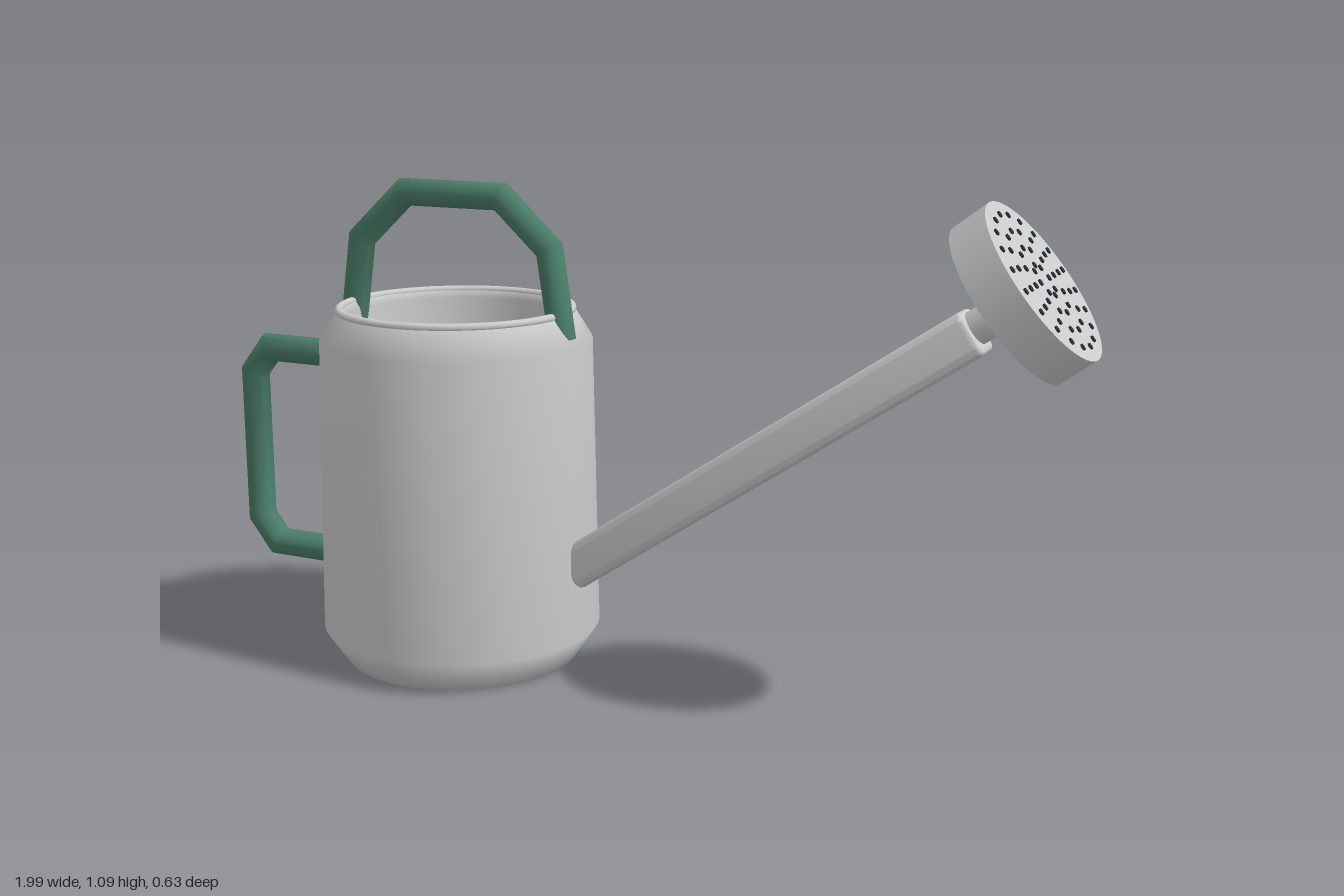
import * as THREE from 'three';
import { mergeGeometries, toCreasedNormals } from 'three/addons/utils/BufferGeometryUtils.js';

const CX = -0.41; // axis of the can

// Round bar along a path in the xy plane, with mitred bends and closed ends
function mitredBar(points, radius, sides = 20) {
  const pts = points.map(([x, y]) => new THREE.Vector2(x, y));
  const last = pts.length - 1;
  const rings = [];
  pts.forEach((p, i) => {
    const a = pts[Math.max(i - 1, 0)], b = pts[Math.min(i + 1, last)];
    const dIn = i > 0 ? p.clone().sub(a).normalize() : b.clone().sub(p).normalize();
    const dOut = i < last ? b.clone().sub(p).normalize() : dIn.clone();
    const t = dIn.clone().add(dOut).normalize();
    const ring = { p, n: new THREE.Vector2(-t.y, t.x), miter: 1 / t.dot(dIn), r: radius };
    if (i === 0) rings.push({ ...ring, r: 0 });
    rings.push(ring);
    if (i === last) rings.push({ ...ring, r: 0 });
  });
  const position = [], index = [];
  rings.forEach(({ p, n, miter, r }, i) => {
    for (let j = 0; j < sides; j++) {
      const a = (j / sides) * Math.PI * 2, u = Math.cos(a) * r * miter;
      position.push(p.x + n.x * u, p.y + n.y * u, Math.sin(a) * r);
      if (i === rings.length - 1) continue;
      const k = (j + 1) % sides, s = i * sides, e = s + sides;
      index.push(s + j, s + k, e + k, s + j, e + k, e + j);
    }
  });
  const g = new THREE.BufferGeometry();
  g.setAttribute('position', new THREE.Float32BufferAttribute(position, 3));
  g.setIndex(index);
  return toCreasedNormals(g, 0.9);
}

// Square with rounded corners
function roundedSquare(h, r) {
  const s = new THREE.Shape();
  [[1, 1, 0], [-1, 1, 1], [-1, -1, 2], [1, -1, 3]].forEach(([x, y, q]) =>
    s.absarc(x * (h - r), y * (h - r), r, (q * Math.PI) / 2, ((q + 1) * Math.PI) / 2, false));
  return s;
}

export function createModel() {
  const model = new THREE.Group();
  const metal = new THREE.MeshStandardMaterial({ color: 0xcccccc });
  const green = new THREE.MeshStandardMaterial({ color: 0x4a7c68 });
  const dark = new THREE.MeshStandardMaterial({ color: 0x2b2f33 });
  const add = (name, geometry, material, parent = model) => {
    const mesh = new THREE.Mesh(geometry, material);
    mesh.name = name;
    parent.add(mesh);
    return mesh;
  };

  // Hollow can: outside from the base up, over the lip, and down the inside
  const profile = [
    [0, 0], [0.265, 0], [0.315, 0.075], [0.302, 0.73], [0.265, 0.79], [0.262, 0.8],
    [0.25, 0.8], [0.243, 0.78], [0.225, 0.07], [0.215, 0.05], [0, 0.05],
  ].map(([r, y]) => new THREE.Vector2(r, y));
  add('canBody', new THREE.LatheGeometry(profile, 64), metal).position.x = CX;

  // Rolled rim
  const rim = add('rim', new THREE.TorusGeometry(0.257, 0.009, 10, 64), metal);
  rim.rotation.x = Math.PI / 2;
  rim.position.set(CX, 0.797, 0);

  // Spout: bevelled bar leaning outward
  const start = new THREE.Vector2(-0.115, 0.238), end = new THREE.Vector2(0.757, 0.838);
  const lean = end.clone().sub(start), bevel = 0.01;
  const spout = new THREE.ExtrudeGeometry(roundedSquare(0.038, 0.012), {
    depth: lean.length() - 2 * bevel, bevelThickness: bevel, bevelSize: bevel,
    bevelSegments: 3, curveSegments: 5,
  });
  spout.translate(0, 0, bevel).rotateY(Math.PI / 2).rotateZ(lean.angle());
  spout.translate(start.x, start.y, 0);
  add('spout', toCreasedNormals(spout, 0.6), metal);

  // Sprinkler head, built along +y then tipped toward +x
  const head = new THREE.Group();
  head.name = 'sprinklerHead';
  head.position.set(0.88, 0.943, 0);
  head.rotation.z = THREE.MathUtils.degToRad(37.7 - 90);
  model.add(head);
  add('rose', new THREE.CylinderGeometry(0.18, 0.18, 0.083, 64), metal, head).position.y = -0.0415;

  // Neck between spout and head
  const neck = new THREE.CylinderGeometry(0.035, 0.035, 0.14, 24);
  neck.rotateZ(lean.angle() - Math.PI / 2).translate(0.777, 0.858, 0);
  add('neck', neck, metal);

  // Rings of spray holes
  const holes = [];
  [[0.034, 8], [0.073, 12], [0.112, 16], [0.15, 20]].forEach(([r, count]) => {
    for (let i = 0; i < count; i++) {
      const a = (i / count) * Math.PI * 2;
      holes.push(new THREE.CylinderGeometry(0.007, 0.007, 0.006, 10)
        .translate(r * Math.cos(a), 0, r * Math.sin(a)));
    }
  });
  add('sprayHoles', mergeGeometries(holes), dark, head);

  // Carrying handle over the opening
  const half = [[0.268, 0.745], [0.239, 0.938], [0.121, 1.046]];
  const arch = [
    ...half.map(([x, y]) => [CX - 0.003 - x, y]),
    ...half.map(([x, y]) => [CX - 0.003 + x, y]).reverse(),
  ];
  add('topHandle', mitredBar(arch, 0.03), green);

  // Pouring handle on the back of the can
  add('sideHandle', mitredBar([
    [-0.7, 0.665], [-0.92, 0.665], [-0.968, 0.605],
    [-0.968, 0.25], [-0.92, 0.19], [-0.7, 0.19],
  ], 0.032), green);

  return model;
}
